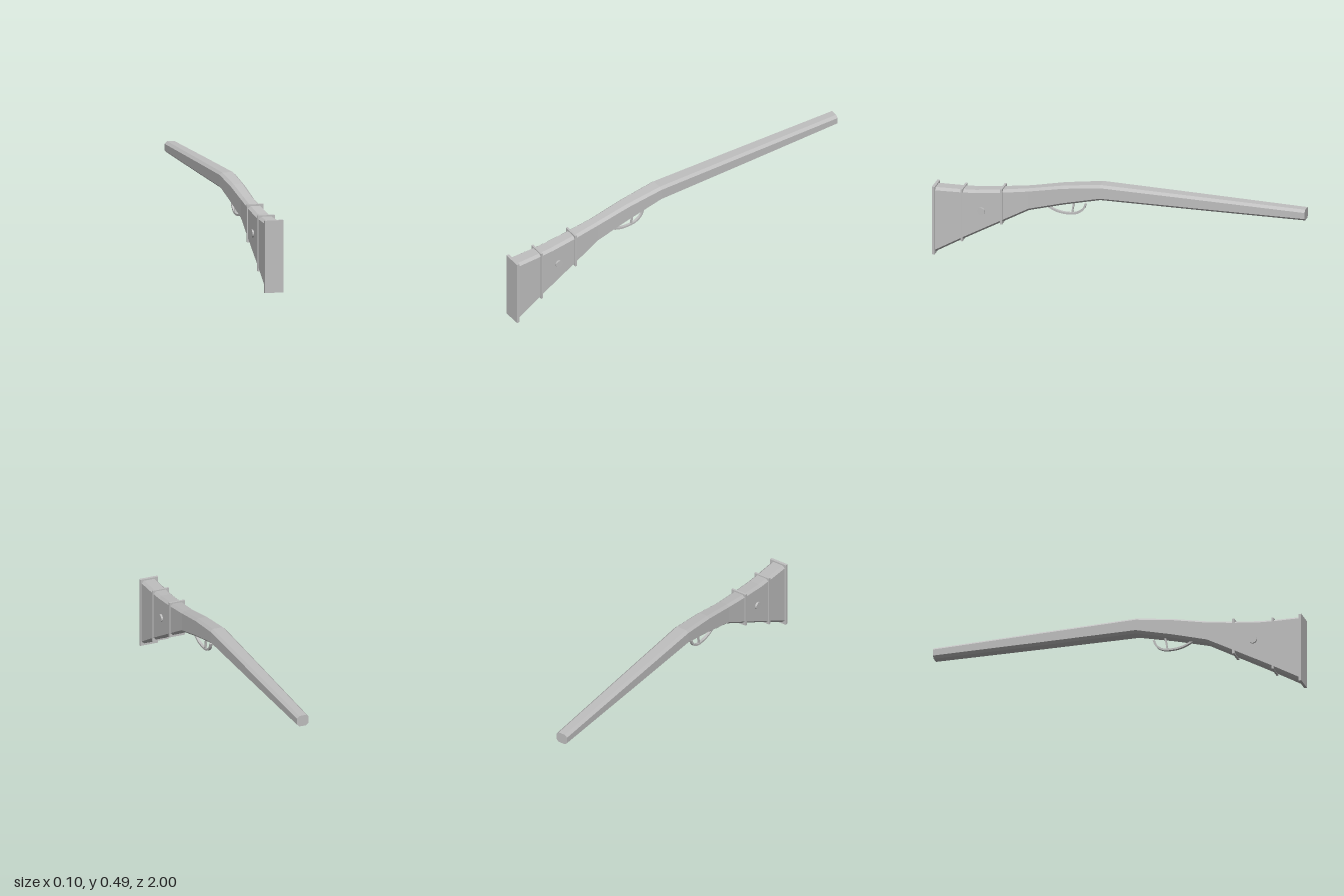
import * as THREE from 'three';

export function createModel() {
  const model = new THREE.Group();
  const grey = new THREE.MeshStandardMaterial({ color: 0xc0c0c0 });
  grey.name = 'plainGrey';
  grey.flatShading = true;

  const add = (name, geometry, x = 0, y = 0, z = 0) => {
    const mesh = new THREE.Mesh(geometry, grey);
    mesh.name = name;
    mesh.position.set(x, y, z);
    model.add(mesh);
    return mesh;
  };

  // Stock and barrel: chamfered sections [z, top, bottom, half width]
  const stations = [
    [0.99, 0.37, 0.008, 0.043], [0.85, 0.374, 0.091, 0.041], [0.77, 0.379, 0.137, 0.04],
    [0.63, 0.397, 0.216, 0.038], [0.485, 0.42, 0.298, 0.035], [0.3, 0.459, 0.352, 0.038],
    [0.1, 0.488, 0.403, 0.042], [-0.4, 0.484, 0.409, 0.038], [-1, 0.478, 0.418, 0.033],
  ];
  const ring = ([z, t, b, w]) => {
    const c = 0.014, d = 0.013;
    return [[w - c, t], [w, t - d], [w, b + d], [w - c, b],
      [c - w, b], [-w, b + d], [-w, t - d], [c - w, t]].map(([x, y]) => [x, y, z]);
  };
  const rings = stations.map(ring);
  const pos = [];
  const tri = (...points) => points.forEach((p) => pos.push(...p));
  for (let i = 0; i < rings.length - 1; i++) {
    const a = rings[i], b = rings[i + 1];
    for (let j = 0; j < 8; j++) {
      const k = (j + 1) % 8;
      tri(a[j], a[k], b[k], a[j], b[k], b[j]);
    }
  }
  const first = rings[0], last = rings[rings.length - 1];
  for (let j = 1; j < 7; j++) {
    tri(first[0], first[j + 1], first[j]);
    tri(last[0], last[j], last[j + 1]);
  }
  const body = new THREE.BufferGeometry();
  body.setAttribute('position', new THREE.Float32BufferAttribute(pos, 3));
  body.computeVertexNormals();
  add('stockAndBarrel', body);

  // Butt plate
  add('buttPlate', new THREE.BoxGeometry(0.1, 0.378, 0.015), 0, 0.189, 0.9925);

  // Bands around the stock
  const bands = [[0.63, 0.405, 0.208, 0.044], [0.842, 0.381, 0.09, 0.046]];
  for (const [z, top, bottom, w] of bands) {
    add('stockBand', new THREE.BoxGeometry(w * 2, top - bottom, 0.011), 0, (top + bottom) / 2, z);
  }

  // Round stud through both sides of the stock
  add('sideStud', new THREE.CylinderGeometry(0.02, 0.02, 0.098, 16).rotateZ(Math.PI / 2), 0, 0.27, 0.737);

  // Trigger guard: a thin curved strip, extruded sideways
  const curve = new THREE.CatmullRomCurve3(
    [[0.395, 0.328], [0.345, 0.305], [0.29, 0.297], [0.235, 0.304], [0.2, 0.33], [0.186, 0.362]]
      .map(([z, y]) => new THREE.Vector3(-z, y, 0)));
  const outer = [], inner = [];
  for (let i = 0; i <= 14; i++) {
    const p = curve.getPoint(i / 14), t = curve.getTangent(i / 14);
    outer.push(new THREE.Vector2(p.x + t.y * 0.005, p.y - t.x * 0.005));
    inner.unshift(new THREE.Vector2(p.x - t.y * 0.005, p.y + t.x * 0.005));
  }
  const guard = new THREE.ExtrudeGeometry(new THREE.Shape([...outer, ...inner]),
    { depth: 0.014, bevelEnabled: false });
  guard.translate(0, 0, -0.007).rotateY(Math.PI / 2);
  add('triggerGuard', guard);

  // Trigger
  add('trigger', new THREE.BoxGeometry(0.01, 0.075, 0.008), 0, 0.337, 0.254).rotation.x = -0.17;

  return model;
}
